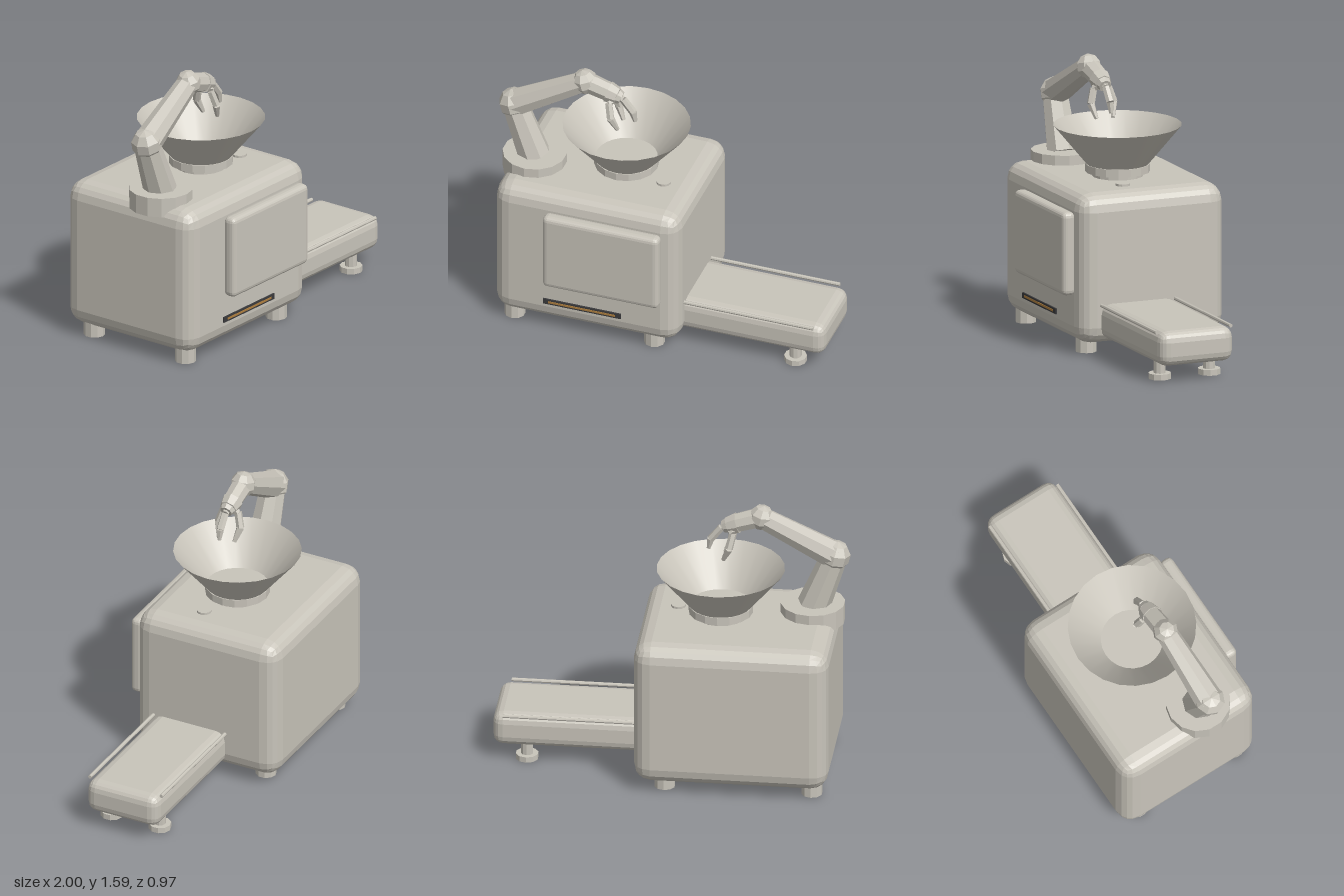
import * as THREE from 'three';
import { RoundedBoxGeometry } from 'three/addons/geometries/RoundedBoxGeometry.js';

const shell = new THREE.MeshStandardMaterial({ color: 0xc8c4ba });
shell.name = 'warmGrey';
const funnelGrey = new THREE.MeshStandardMaterial({ color: 0xc8c4ba, side: THREE.DoubleSide });
funnelGrey.name = 'warmGreyOpen';
const dark = new THREE.MeshStandardMaterial({ color: 0x3a3a3c });
dark.name = 'darkGrey';
const amber = new THREE.MeshStandardMaterial({ color: 0xb08040 });
amber.name = 'amber';

// Give every face its own normal
function facet(geometry) {
  const g = geometry.index ? geometry.toNonIndexed() : geometry;
  g.computeVertexNormals();
  return g;
}

export function createModel() {
  const model = new THREE.Group();
  model.name = 'sortingMachine';

  function add(name, geometry, material, x = 0, y = 0, z = 0, parent = model) {
    const mesh = new THREE.Mesh(geometry, material);
    mesh.name = name;
    mesh.position.set(x, y, z);
    parent.add(mesh);
    return mesh;
  }

  // Rounded block given by its extents
  function block(name, [x0, x1], [y0, y1], [z0, z1], radius, segments = 2) {
    const g = new RoundedBoxGeometry(x1 - x0, y1 - y0, z1 - z0, segments, radius);
    return add(name, facet(g), shell, (x0 + x1) / 2, (y0 + y1) / 2, (z0 + z1) / 2);
  }

  // Upright cylinder between two heights
  function post(name, x, z, y0, y1, radius, sides = 10) {
    const g = facet(new THREE.CylinderGeometry(radius, radius, y1 - y0, sides));
    return add(name, g, shell, x, (y0 + y1) / 2, z);
  }

  // Tapered rod from a to b
  function rod(name, a, b, r0, r1, sides, parent = model) {
    const from = new THREE.Vector3(...a), to = new THREE.Vector3(...b);
    const dir = to.clone().sub(from);
    const g = facet(new THREE.CylinderGeometry(r1, r0, dir.length(), sides));
    const mid = from.clone().add(to).multiplyScalar(0.5);
    const mesh = add(name, g, shell, mid.x, mid.y, mid.z, parent);
    mesh.quaternion.setFromUnitVectors(new THREE.Vector3(0, 1, 0), dir.normalize());
    return mesh;
  }

  // Cabinet and front door
  block('cabinet', [-0.935, 0.17], [0.065, 0.93], [-0.485, 0.415], 0.1);
  block('frontPanel', [-0.615, 0.08], [0.345, 0.825], [0.405, 0.485], 0.03);
  for (const x of [-0.835, 0]) {
    for (const z of [0.31, -0.34]) post('cabinetFoot', x, z, 0, 0.1, 0.06);
  }

  // Light slot
  add('slotFrame', new THREE.BoxGeometry(0.465, 0.032, 0.022), dark, -0.395, 0.205, 0.414);
  add('slotLight', new THREE.BoxGeometry(0.4, 0.012, 0.004), amber, -0.395, 0.205, 0.426);

  // Conveyor with side rails and feet
  block('conveyor', [0.05, 1], [0.1, 0.3], [-0.167, 0.288], 0.06);
  for (const z of [0.288, -0.167]) {
    rod('conveyorRail', [0.1, 0.295, z], [0.94, 0.295, z], 0.011, 0.011, 8);
  }
  for (const z of [0.215, -0.09]) {
    post('conveyorFootPad', 0.81, z, 0, 0.033, 0.065);
    post('conveyorFootStem', 0.81, z, 0.03, 0.12, 0.035);
  }

  // Funnel on its stepped collar
  const fx = -0.28, fz = -0.01;
  post('funnelNeck', fx, fz, 0.91, 0.96, 0.145, 16);
  post('funnelCollar', fx, fz, 0.955, 1.0, 0.183, 16);
  add('funnel', new THREE.CylinderGeometry(0.363, 0.172, 0.23, 24, 1, true), funnelGrey, fx, 1.11, fz);
  post('button', -0.03, 0.07, 0.92, 0.943, 0.042, 12);

  // Robot arm: turntable, two links, forearm
  post('armBase', -0.79, 0.1, 0.875, 0.987, 0.183, 14);
  const arm = new THREE.Group();
  arm.name = 'arm';
  model.add(arm);
  const foot = [-0.795, 0.97, 0.1], shoulder = [-0.915, 1.29, 0.095];
  const elbow = [-0.5, 1.52, 0.07], wrist = [-0.31, 1.46, 0.065];
  const joint = (name, p, r) => {
    const mesh = add(name, facet(new THREE.SphereGeometry(r, 8, 5)), shell, ...p, arm);
    mesh.rotation.z = 0.25;
  };
  rod('lowerLink', foot, shoulder, 0.095, 0.075, 8, arm);
  joint('shoulderJoint', shoulder, 0.09);
  rod('upperLink', shoulder, elbow, 0.083, 0.062, 8, arm);
  joint('elbowJoint', elbow, 0.074);
  rod('forearm', elbow, [-0.35, 1.475, 0.066], 0.06, 0.055, 8, arm);
  rod('wristCuff', [-0.365, 1.478, 0.066], wrist, 0.062, 0.05, 8, arm);
  rod('palm', wrist, [-0.285, 1.45, 0.065], 0.046, 0.036, 8, arm);

  // Three bent fingers: two behind, one in front
  const fingers = [
    [[-0.345, 1.43, 0.11], [-0.325, 1.345, 0.135], [-0.29, 1.265, 0.115]],
    [[-0.345, 1.43, 0.02], [-0.325, 1.345, -0.005], [-0.29, 1.265, 0.015]],
    [[-0.275, 1.445, 0.065], [-0.215, 1.37, 0.065], [-0.202, 1.31, 0.065]],
  ];
  for (const [root, knuckle, tip] of fingers) {
    rod('fingerBase', root, knuckle, 0.022, 0.023, 6, arm);
    rod('fingerTip', knuckle, tip, 0.023, 0.012, 6, arm);
  }
  // Struts tying the fingers to the wrist
  for (const [root] of fingers) rod('fingerStrut', wrist, root, 0.025, 0.02, 6, arm);

  return model;
}
